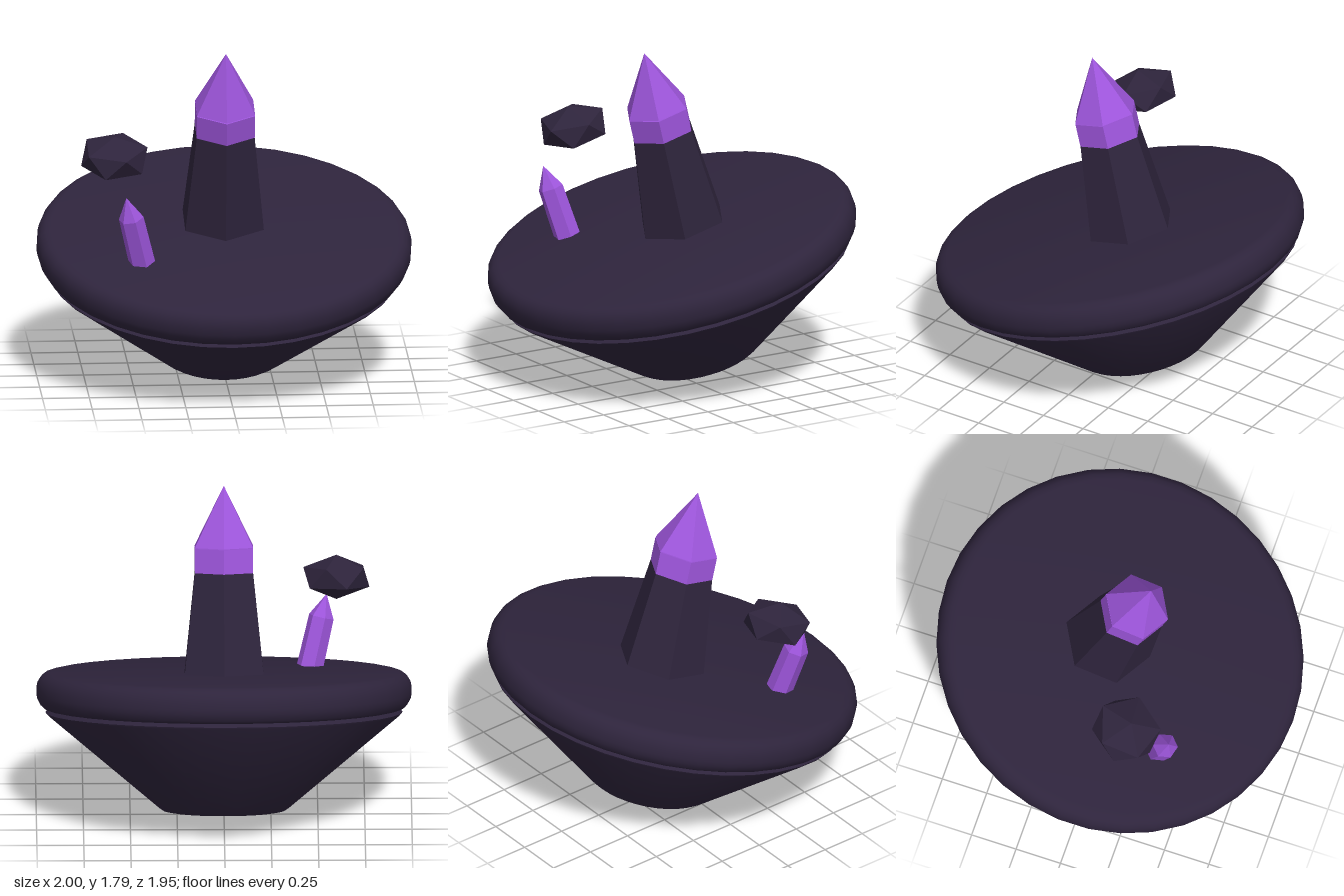
import * as THREE from 'three';
import { toCreasedNormals } from 'three/addons/utils/BufferGeometryUtils.js';

const mat = (name, color, flatShading = false) => {
  const m = new THREE.MeshStandardMaterial({ color, flatShading });
  m.name = name;
  return m;
};

export function createModel() {
  const model = new THREE.Group();
  model.name = 'floatingCrystalIsland';
  const tilted = new THREE.Group();
  tilted.name = 'tiltedIsland';
  tilted.rotation.x = THREE.MathUtils.degToRad(14);
  model.add(tilted);

  const stone = mat('darkStone', 0x2e243c);
  const crystal = mat('purpleCrystal', 0x9d55db);

  const add = (name, geometry, material, x, y, z, parent = tilted) => {
    const mesh = new THREE.Mesh(geometry, material);
    mesh.name = name;
    mesh.position.set(x, y, z);
    parent.add(mesh);
    return mesh;
  };
  // Smooth turned body with sharp edges kept
  const turned = (points) => toCreasedNormals(
    new THREE.LatheGeometry(points.map(([r, y]) => new THREE.Vector2(r, y)), 36), 0.5);
  // Faceted six-sided prism standing on its base
  const hex = (top, bottom, height, open = false) => toCreasedNormals(
    new THREE.CylinderGeometry(top, bottom, height, 6, 1, open).translate(0, height / 2, 0), 0.2);

  const axisZ = -0.176;

  // Round slab with softened rim
  add('slab', turned([
    [0, 0.587], [0.935, 0.587], [0.96, 0.592], [0.977, 0.605], [0.995, 0.64], [1, 0.665],
    [1, 0.7], [0.994, 0.73], [0.978, 0.757], [0.955, 0.774], [0.925, 0.781], [0, 0.781],
  ]), stone, 0, 0, axisZ);

  // Tapering underside
  add('underside', turned([
    [0, 0.035], [0.29, 0.035], [0.325, 0.041], [0.35, 0.058],
    [0.945, 0.557], [0.952, 0.568], [0.94, 0.577], [0.91, 0.592],
  ]), stone, 0, 0, axisZ);

  // Pillar with crystal collar and point
  const pillarZ = -0.27;
  add('pillar', hex(0.178, 0.242, 0.544), stone, 0, 0.785, pillarZ);
  add('crystalCollar', hex(0.179, 0.179, 0.13), crystal, 0, 1.325, pillarZ);
  add('crystalPoint', hex(0, 0.179, 0.325), crystal, 0, 1.46, pillarZ);

  // Small leaning crystal
  const shard = new THREE.Group();
  shard.name = 'smallCrystal';
  shard.position.set(-0.46, 0.775, 0.18);
  shard.rotation.z = 0.226;
  tilted.add(shard);
  add('smallCrystalShaft', hex(0.068, 0.072, 0.275), crystal, 0, 0, 0, shard).rotation.y = 0.3;
  add('smallCrystalPoint', hex(0, 0.068, 0.125), crystal, 0, 0.275, 0, shard).rotation.y = 0.3;

  // Flattened floating rock, one corner pointing up
  const rock = new THREE.IcosahedronGeometry(0.197, 0)
    .rotateX(-Math.atan((1 + Math.sqrt(5)) / 2))
    .rotateY(Math.PI / 2)
    .scale(1, 0.6, 1);
  rock.computeVertexNormals();
  add('floatingRock', rock, stone, -0.6, 1.279, -0.077);

  return model;
}
